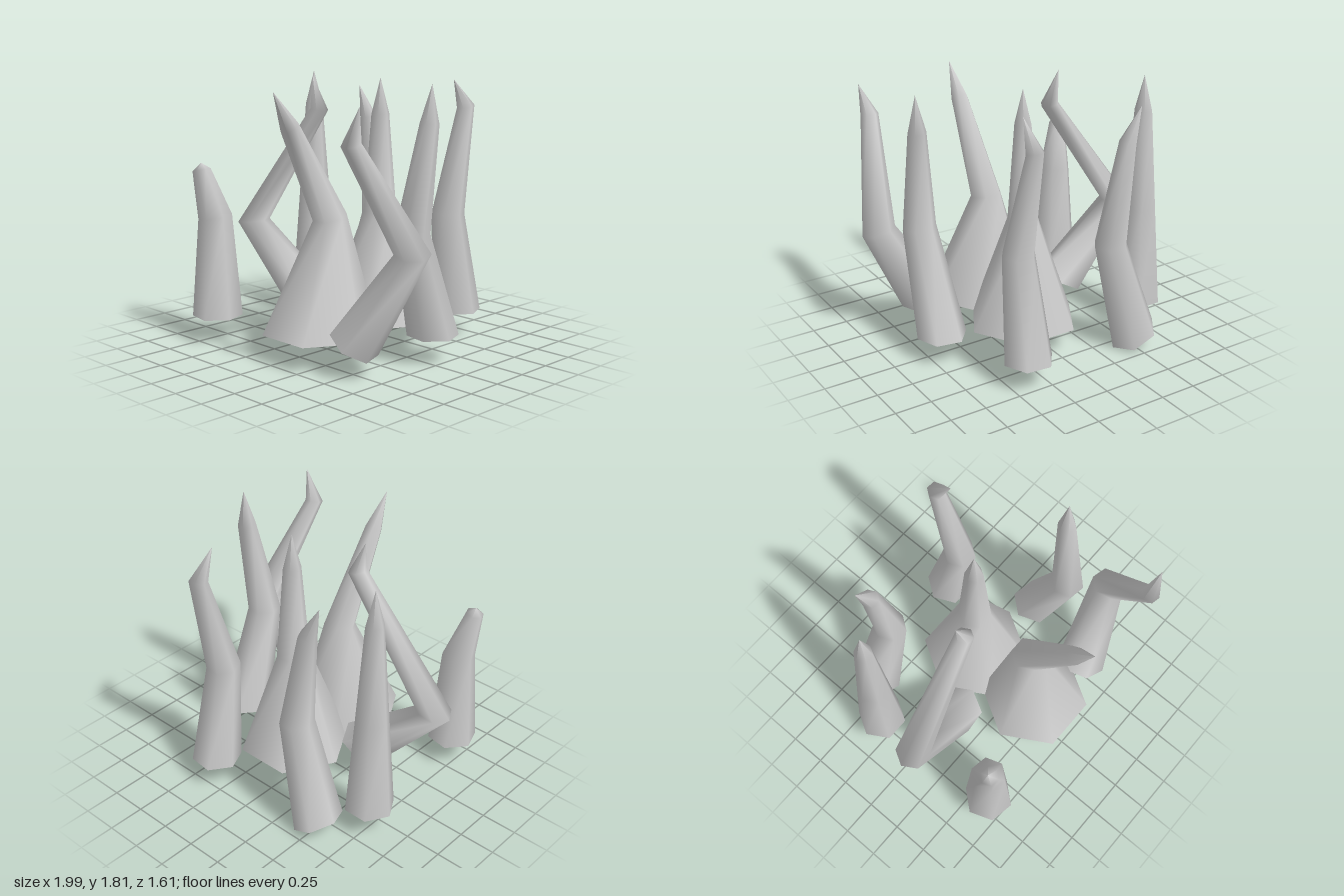
import * as THREE from 'three';

const SIDES = 6;
const UP = new THREE.Vector3(0, 1, 0);

// Six-sided tapering spike lofted along a bent path.
// path: [x, y, z, radius] per ring, radius 0 = tip; baseNormal tilts the bottom cut.
function makeSpike({ name, path, baseNormal = [0, 1, 0], yaw = 0 }) {
  const pts = path.map(p => new THREE.Vector3(p[0], p[1], p[2]));
  const pos = [], index = [];
  const last = pts.length - 1;

  // rings, each square to the bisecting direction of the path
  pts.forEach((c, i) => {
    const dir = new THREE.Vector3();
    if (i === 0) dir.fromArray(baseNormal);
    else {
      dir.subVectors(c, pts[i - 1]).normalize();
      if (i < last) dir.add(new THREE.Vector3().subVectors(pts[i + 1], c).normalize());
    }
    const q = new THREE.Quaternion().setFromUnitVectors(UP, dir.normalize());
    for (let k = 0; k < SIDES; k++) {
      const a = yaw + (k / SIDES) * Math.PI * 2;
      const v = new THREE.Vector3(Math.cos(a), 0, Math.sin(a));
      v.multiplyScalar(path[i][3]).applyQuaternion(q).add(c);
      pos.push(v.x, v.y, v.z);
    }
  });

  // side walls
  for (let i = 0; i < last; i++) {
    for (let k = 0; k < SIDES; k++) {
      const n = (k + 1) % SIDES;
      const a = i * SIDES + k, b = i * SIDES + n;
      const d = a + SIDES, c = b + SIDES;
      index.push(a, d, b);
      if (path[i + 1][3] > 0) index.push(b, d, c);
    }
  }

  // flat bottom with its own vertices so the rim stays sharp
  const start = pos.length / 3;
  pos.push(...pos.slice(0, SIDES * 3));
  for (let k = 1; k < SIDES - 1; k++) index.push(start, start + k, start + k + 1);

  const geo = new THREE.BufferGeometry();
  geo.setAttribute('position', new THREE.Float32BufferAttribute(pos, 3));
  geo.setIndex(index);
  geo.computeVertexNormals();
  const mesh = new THREE.Mesh(geo, new THREE.MeshStandardMaterial({ color: 0xcccccc }));
  mesh.name = name;
  return mesh;
}

// Ring radii: wide foot, waist, neck, tip
const BIG = 0.385, FOOT = 0.17, WAIST = 0.115, NECK = 0.062;

const spikes = [
  // two broad central spikes
  { name: 'centreBackSpike', path: [
    [0.095, 0.18, -0.155, BIG], [0.095, 0.91, -0.16, WAIST], [0.095, 1.57, -0.16, NECK], [0.095, 1.81, -0.16, 0]] },
  { name: 'centreFrontSpike', path: [
    [0.095, 0.18, 0.40, BIG], [0.095, 0.93, 0.31, WAIST], [0.095, 1.54, 0.65, NECK], [0.095, 1.77, 0.785, 0]] },
  // bent spikes on the left side
  { name: 'leftFrontBentSpike', baseNormal: [0.5, 0.85, -0.12], yaw: 0.2, path: [
    [0.51, 0.2, 0.5, FOOT], [0.885, 0.82, 0.38, WAIST], [0.735, 1.5, 0.75, NECK], [0.805, 1.725, 0.75, 0]] },
  { name: 'leftMiddleSpike', yaw: 0.18, path: [
    [0.67, 0.18, -0.06, FOOT], [0.69, 0.88, 0.17, WAIST], [0.735, 1.57, 0.07, NECK], [0.745, 1.815, 0.06, 0]] },
  { name: 'leftBackSpike', yaw: 0.1, path: [
    [0.37, 0.18, -0.65, FOOT], [0.375, 0.88, -0.54, WAIST], [0.37, 1.6, -0.715, NECK], [0.37, 1.79, -0.585, 0]] },
  // spikes on the right side
  { name: 'rightBackBentSpike', baseNormal: [0.45, 0.9, 0], yaw: 0.1, path: [
    [-0.52, 0.08, -0.59, FOOT], [-0.32, 0.79, -0.57, WAIST], [-0.425, 1.47, -0.58, NECK], [-0.525, 1.705, -0.585, 0]] },
  { name: 'rightOuterSpike', path: [
    [-0.74, 0.18, -0.335, FOOT], [-0.74, 0.88, -0.335, WAIST], [-0.74, 1.57, -0.335, NECK], [-0.74, 1.81, -0.335, 0]] },
  { name: 'rightMiddleBentSpike', baseNormal: [-0.5, 0.87, 0], path: [
    [-0.35, 0.265, 0.07, FOOT], [-0.885, 0.75, 0.13, WAIST], [-0.26, 1.59, 0.065, NECK], [-0.33, 1.815, 0.06, 0]] },
  // blunt short spike
  { name: 'rightFrontStub', yaw: 0.18, path: [
    [-0.69, 0.18, 0.63, FOOT], [-0.695, 0.87, 0.63, WAIST], [-0.755, 1.19, 0.69, NECK], [-0.765, 1.235, 0.685, 0]] },
];

export function createModel() {
  const group = new THREE.Group();
  group.name = 'spikeCluster';
  spikes.forEach(s => group.add(makeSpike(s)));
  return group;
}
